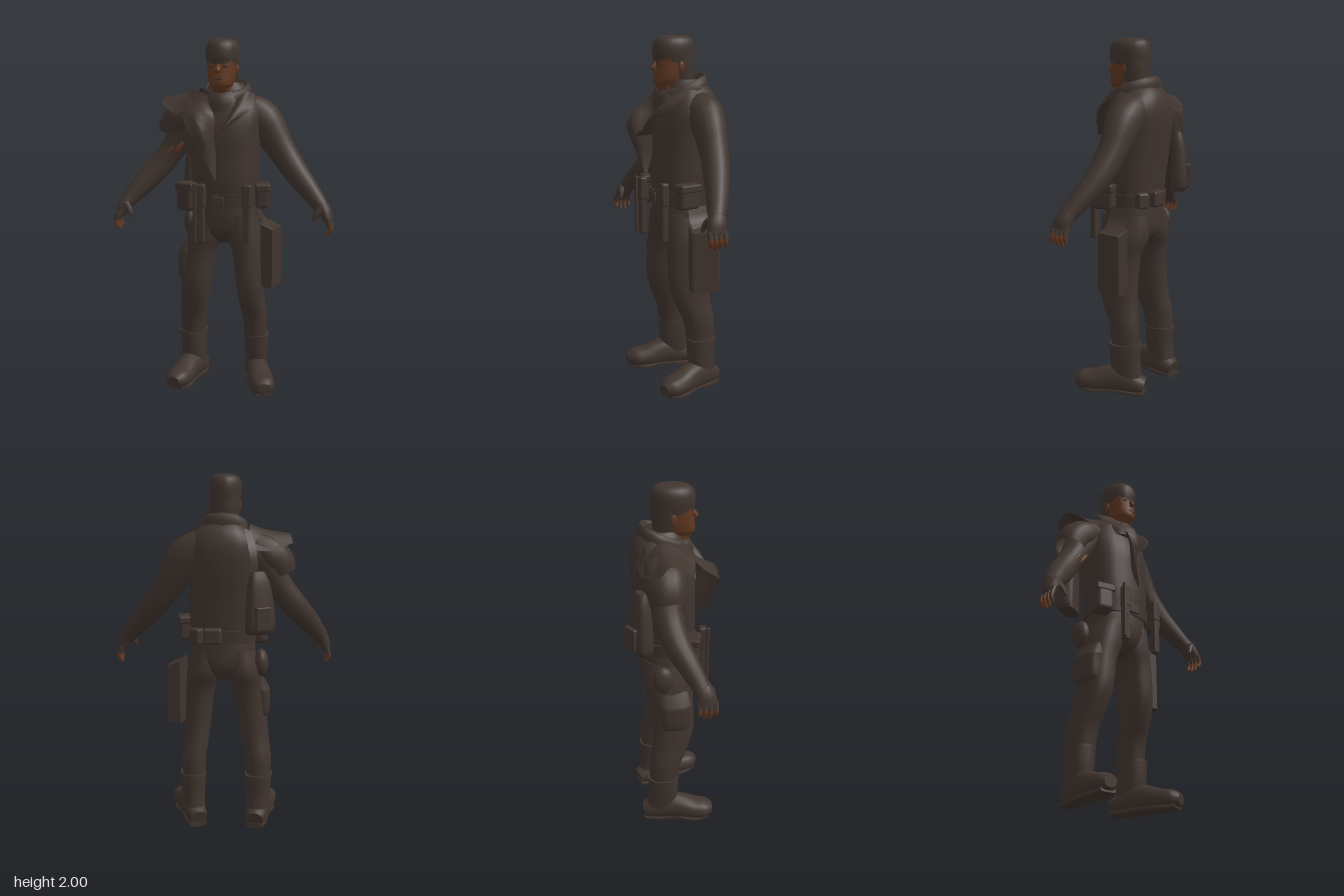
import * as THREE from 'three';
import { toCreasedNormals } from 'three/addons/utils/BufferGeometryUtils.js';
import { RoundedBoxGeometry } from 'three/addons/geometries/RoundedBoxGeometry.js';

const cloth = new THREE.MeshStandardMaterial({ color: 0x40342e, side: THREE.DoubleSide });
cloth.name = 'dark brown cloth';
const skin = new THREE.MeshStandardMaterial({ color: 0x603821 });
skin.name = 'skin';
const V = (x, y, z) => new THREE.Vector3(x, y, z);

export function createModel() {
  const model = new THREE.Group();
  model.name = 'fieldSoldier';

  const add = (name, geo, mat = cloth, parent = model) => {
    const m = new THREE.Mesh(geo, mat);
    m.name = name;
    parent.add(m);
    return m;
  };

  const addGroup = (name, x, y, z, yaw = 0) => {
    const g = new THREE.Group();
    g.name = name;
    g.position.set(x, y, z);
    g.rotation.y = yaw;
    model.add(g);
    return g;
  };

  const build = (pos, idx, crease = 0.7) => {
    const g = new THREE.BufferGeometry();
    g.setAttribute('position', new THREE.Float32BufferAttribute(pos, 3));
    g.setIndex(idx);
    return toCreasedNormals(g, crease);
  };

  // Loft through rows of [x, y, z, radiusA, radiusB]; rings lie flat or follow the path
  const loft = (rows, { follow = false, up = V(0, 0, 1), n = 2, seg = 16, sub = 3, caps = true } = {}) => {
    const path = new THREE.CatmullRomCurve3(rows.map(r => V(r[0], r[1], r[2])), false, 'catmullrom');
    const size = new THREE.CatmullRomCurve3(rows.map(r => V(r[3], r[4], 0)), false, 'catmullrom');
    const count = (rows.length - 1) * sub, pos = [], idx = [];
    const pw = c => Math.sign(c) * Math.abs(c) ** (2 / n);
    const flat = V(0, Math.sign(rows.at(-1)[1] - rows[0][1]), 0);
    for (let i = 0; i <= count; i++) {
      const c = path.getPoint(i / count), r = size.getPoint(i / count);
      const t = follow ? path.getTangent(i / count) : flat;
      const b = up.clone().addScaledVector(t, -up.dot(t)).normalize();
      const a = t.clone().cross(b);
      for (let j = 0; j < seg; j++) {
        const q = j / seg * Math.PI * 2;
        const p = c.clone().addScaledVector(a, r.x * pw(Math.cos(q))).addScaledVector(b, r.y * pw(Math.sin(q)));
        pos.push(p.x, p.y, p.z);
      }
    }
    for (let i = 0; i < count; i++) for (let j = 0; j < seg; j++) {
      const k = (j + 1) % seg, p = i * seg, q = p + seg;
      idx.push(p + j, q + j, p + k, q + j, q + k, p + k);
    }
    if (caps) {
      const c0 = pos.length / 3, top = count * seg, s = rows[0], e = rows.at(-1);
      pos.push(s[0], s[1], s[2], e[0], e[1], e[2]);
      for (let j = 0; j < seg; j++) {
        const k = (j + 1) % seg;
        idx.push(c0, j, k, c0 + 1, top + k, top + j);
      }
    }
    return build(pos, idx);
  };

  // Open cloth sheet through rows of points
  const sheet = rows => {
    const n = 8, m = 10, pos = [], idx = [];
    const across = rows.map(r => new THREE.CatmullRomCurve3(r.map(p => V(...p))));
    for (let i = 0; i <= m; i++) for (let j = 0; j <= n; j++) {
      const p = new THREE.CatmullRomCurve3(across.map(c => c.getPoint(j / n))).getPoint(i / m);
      pos.push(p.x, p.y, p.z);
      if (i < m && j < n) {
        const a = i * (n + 1) + j, b = a + n + 1;
        idx.push(a, b, a + 1, b, b + 1, a + 1);
      }
    }
    return build(pos, idx, 1);
  };

  const box = (name, [x, y, z], [w, h, d], yaw = 0, roll = 0, parent = model) => {
    const m = add(name, new RoundedBoxGeometry(w, h, d, 2, Math.min(w, h, d) * 0.25), cloth, parent);
    m.position.set(x, y, z);
    m.rotation.set(0, yaw, roll);
  };

  const ball = (name, [x, y, z], [a, b, c], mat = cloth, roll = 0) => {
    const m = add(name, new THREE.SphereGeometry(1, 14, 10), mat);
    m.position.set(x, y, z);
    m.scale.set(a, b, c);
    m.rotation.z = roll;
  };

  // Torso and hips
  add('jacket', loft([[0, 1.06, -.01, .175, .145], [0, 1.2, -.01, .188, .158], [-.005, 1.35, -.02, .196, .165],
    [-.005, 1.48, -.03, .2, .172], [0, 1.58, -.045, .205, .163], [0, 1.65, -.055, .185, .145],
    [0, 1.71, -.05, .135, .125], [0, 1.76, -.035, .085, .085]], { n: 2.4, seg: 24 }));
  add('hips', loft([[0, .86, -.015, .05, .08], [0, .92, -.015, .15, .138], [0, 1, -.012, .185, .152], [0, 1.1, -.01, .175, .15]],
    { n: 2.3, seg: 20 }));
  add('belt', loft([[0, 1.075, -.01, .186, .16], [0, 1.15, -.01, .193, .165]], { n: 2.4, seg: 24, sub: 1 }));
  box('buckle', [-.01, 1.11, .15], [.07, .055, .025]);

  // Collar, high at the back, with a scarf inside
  const collar = [[.15, .135, 1.66], [.14, .14, 1.72], [.12, .125, 1.75], [.1, .105, 1.72]].map(([a, b, y]) =>
    Array.from({ length: 17 }, (_, i) => {
      const q = (i / 16 * 1.7 - .35) * Math.PI;
      return [a * Math.cos(q), y + .045 * Math.sin(q), -.025 - b * Math.sin(q)];
    }));
  add('collar', sheet(collar));
  add('scarf', loft([[0, 1.6, .02, .12, .12], [-.005, 1.67, .03, .1, .105], [-.005, 1.71, .015, .085, .09]], { n: 2.2 }));

  // Broad lapels standing away from the chest
  add('rightLapel', sheet([
    [[-.07, 1.69, .1], [-.13, 1.71, .08], [-.2, 1.72, .03]],
    [[-.05, 1.62, .13], [-.12, 1.63, .14], [-.2, 1.64, .11]],
    [[-.03, 1.56, .14], [-.1, 1.58, .235], [-.2, 1.58, .17]],
    [[-.03, 1.48, .15], [-.07, 1.5, .26], [-.155, 1.51, .255]],
    [[-.02, 1.36, .15], [-.05, 1.38, .225], [-.09, 1.4, .24]],
    [[-.01, 1.23, .195], [-.01, 1.235, .2], [-.015, 1.24, .205]]]));
  add('leftLapel', sheet([
    [[.08, 1.67, .09], [.13, 1.71, .06], [.165, 1.7, 0]],
    [[.05, 1.59, .13], [.09, 1.61, .17], [.165, 1.62, .11]],
    [[.01, 1.51, .14], [.03, 1.51, .225], [.06, 1.53, .2]],
    [[-.025, 1.46, .15], [-.02, 1.455, .21], [-.02, 1.455, .255]]]));

  // Torn shoulder flap and short sleeve on the right
  add('shoulderFlap', sheet([
    [[-.14, 1.6, -.19], [-.15, 1.73, -.05], [-.16, 1.63, .12]],
    [[-.26, 1.59, -.17], [-.24, 1.7, -.04], [-.26, 1.59, .1]],
    [[-.385, 1.63, -.1], [-.37, 1.68, -.04], [-.36, 1.64, .04]]]));
  add('sleevePuff', loft([[-.17, 1.62, -.055, .08, .1], [-.25, 1.57, -.055, .1, .11], [-.3, 1.52, -.05, .098, .1],
    [-.325, 1.46, -.045, .084, .088]], { follow: true, caps: false }));
  ball('tornSleevePatch', [-.275, 1.39, .01], [.015, .055, .017], skin, -.6);
  ball('tornSleevePatch', [-.33, 1.37, .018], [.012, .05, .015], skin, -.65);

  // Arms and fingerless gloves
  const arm = (side, name, rows, dz) => {
    add(name + 'Arm', loft(rows, { follow: true }));
    const g = addGroup(name + 'Hand', 0, 0, dz);
    const pt = ([x, y, z, a, b]) => [side * x, y, z, a, b];
    add('glove', loft([[.54, 1.11, .035, .038, .045], [.575, 1.06, .055, .037, .052], [.595, 1.01, .065, .026, .053]].map(pt),
      { follow: true }), cloth, g);
    for (let i = 0; i < 4; i++) {
      const z = .022 + i * .028, e = .955 - (i === 1 || i === 2 ? .015 : 0);
      add('fingerSleeve', loft([[.592, 1.03, z, .015, .015], [.607, .985, z, .015, .015]].map(pt),
        { follow: true, seg: 8 }), cloth, g);
      add('finger', loft([[.605, .995, z, .013, .013], [.608, .97, z, .013, .013], [.595, e - .01, z, .008, .008]].map(pt),
        { follow: true, seg: 8 }), skin, g);
    }
    add('thumb', loft([[.56, 1.08, .085, .022, .022], [.53, 1.045, .1, .018, .018], [.515, 1.01, .11, .009, .009]].map(pt),
      { follow: true, seg: 8 }), cloth, g);
  };
  arm(1, 'left', [[.1, 1.63, -.07, .08, .1], [.2, 1.555, -.075, .105, .1], [.3, 1.4, -.065, .083, .08],
    [.385, 1.28, -.04, .072, .072], [.47, 1.18, 0, .06, .06], [.555, 1.085, .045, .043, .047]], 0);
  arm(-1, 'right', [[-.1, 1.63, -.06, .08, .1], [-.21, 1.55, -.06, .1, .1], [-.31, 1.4, -.05, .075, .077],
    [-.4, 1.28, -.02, .072, .072], [-.485, 1.18, .035, .062, .06], [-.56, 1.085, .09, .043, .047]], .048);

  // Head with brow line, face and cropped hair cap
  add('face', loft([[-.01, 1.66, .01, .06, .065], [-.01, 1.725, .05, .05, .08], [-.01, 1.75, .055, .065, .09],
    [-.01, 1.8, .048, .076, .092], [-.01, 1.88, .045, .082, .09]], { n: 2.3, seg: 18 }), skin);
  add('backHair', loft([[-.01, 1.69, -.02, .06, .065], [-.01, 1.77, -.01, .075, .075], [-.01, 1.83, 0, .084, .09],
    [-.01, 1.9, .005, .088, .095]], { seg: 18 }));
  add('hairCap', loft([[-.01, 1.855, .024, .085, .114], [-.01, 1.9, .026, .091, .12], [-.01, 1.945, .025, .091, .118],
    [-.01, 1.975, .022, .08, .106], [-.01, 1.993, .02, .058, .082], [-.01, 2, .02, .03, .045]], { n: 2.1, seg: 20 }));
  add('nose', loft([[-.01, 1.86, .13, .01, .01], [-.01, 1.825, .148, .015, .017], [-.01, 1.81, .143, .012, .008]], { seg: 8 }), skin);
  box('mouth', [-.01, 1.778, .141], [.042, .007, .008]);
  for (const s of [-1, 1]) {
    ball('eye', [-.01 + s * .034, 1.847, .127], [.02, .009, .007]);
    ball('ear', [-.01 + s * .081, 1.83, .015], [.009, .03, .018], skin);
  }

  // Trousers
  add('leftLeg', loft([[.09, 1.03, -.01, .09, .14], [.108, .9, -.014, .1, .145], [.13, .8, 0, .084, .124],
    [.145, .62, .003, .077, .118], [.155, .5, -.02, .073, .105], [.167, .4, -.05, .071, .09], [.17, .26, -.06, .064, .08]], { n: 2.2 }));
  add('rightLeg', loft([[-.09, 1.03, -.01, .09, .14], [-.115, .9, -.014, .105, .145], [-.145, .8, 0, .088, .124],
    [-.17, .62, .005, .084, .12], [-.187, .5, -.015, .079, .105], [-.203, .4, -.045, .077, .092], [-.207, .26, -.058, .068, .08]], { n: 2.2 }));
  add('thighPocket', loft([[-.215, .63, .01, .03, .06], [-.222, .66, .01, .045, .085], [-.22, .77, .01, .05, .09],
    [-.212, .8, .01, .05, .092], [-.19, .87, .005, .03, .08]], { n: 3 }));

  // Boots, toes turned outward
  for (const [name, x, yaw, w] of [['leftBoot', .173, .34, 1], ['rightBoot', -.207, -.17, 1.08]]) {
    const g = addGroup(name, x, 0, -.06, yaw);
    add('shaft', loft([[0, .05, -.025, .058, .08], [0, .13, -.008, .06 * w, .085], [0, .2, 0, .066 * w, .086], [0, .29, 0, .07 * w, .09]], { n: 2.3 }), cloth, g);
    add('cuff', loft([[0, .28, 0, .073 * w, .093], [0, .3, 0, .073 * w, .093]], { n: 2.3, sub: 1 }), cloth, g);
    add('foot', loft([[0, .05, -.112, .048, .045], [0, .06, -.07, .06, .058], [0, .085, .02, .064, .083], [0, .08, .1, .066, .076],
      [0, .067, .18, .072, .06], [0, .064, .25, .067, .052], [0, .062, .292, .036, .03]], { follow: true, up: V(0, 1, 0), n: 2.3 }), cloth, g);
    add('sole', loft([[0, .014, -.112, .048, .014], [0, .014, -.04, .058, .014], [0, .022, .08, .056, .014],
      [0, .016, .19, .068, .014], [0, .026, .27, .045, .014]], { follow: true, up: V(0, 1, 0), n: 4 }), cloth, g);
  }

  // Belt pouches and hanging tools
  box('leftPouch', [.222, 1.14, .05], [.075, .14, .13], .2);
  box('leftPouchFlap', [.223, 1.185, .05], [.084, .045, .137], .2);
  box('rightPouch', [-.195, 1.125, .09], [.11, .16, .11], -.3);
  box('rightPouchFlap', [-.195, 1.185, .09], [.118, .045, .117], -.3);
  box('backPouch', [.05, 1.125, -.185], [.1, .09, .06]);
  box('backSidePouch', [.14, 1.12, -.15], [.07, .09, .06], -.6);
  for (const [x, z] of [[-.1, .18], [.155, .16]]) {
    box('toolSheath', [x, 1, z], [.042, .24, .04]);
    box('toolHandle', [x, 1.145, z], [.052, .13, .045]);
  }
  box('slimRod', [-.13, 1.05, .205], [.02, .33, .02]);
  ball('canteen', [-.218, .955, -.06], [.042, .08, .06]);

  // Slim angular thigh holster hanging from a belt strap
  const outline = new THREE.Shape([[-.035, .61], [.035, .61], [.035, .94], [-.035, .97]].map(p => new THREE.Vector2(...p)));
  const holster = addGroup('holster', .26, 0, -.035, -.18);
  add('holsterBody', new THREE.ExtrudeGeometry(outline, { depth: .14, bevelEnabled: true, bevelSize: .005, bevelThickness: .01, bevelSegments: 1 }),
    cloth, holster).position.z = -.07;
  add('holsterStrap', sheet([[[.18, 1.07, -.08], [.185, 1.07, .03]], [[.205, 1, -.09], [.21, 1, .03]], [[.265, .95, -.1], [.26, .95, .03]]]));

  // Slung bag on the right of the back, turned outward
  const bag = addGroup('bag', -.21, 0, -.185, .5);
  add('bagBody', loft([[0, 1.14, .01, .07, .045], [0, 1.18, 0, .082, .052], [0, 1.3, .005, .076, .046],
    [.005, 1.42, .01, .06, .036], [.01, 1.48, .015, .04, .022]], { n: 3.5 }), cloth, bag);
  box('bagPocket', [.01, 1.23, -.048], [.09, .13, .03], 0, 0, bag);
  add('bagStrap', sheet([[[-.2, 1.44, -.2], [-.165, 1.44, -.21]], [[-.19, 1.58, -.19], [-.15, 1.58, -.21]],
    [[-.16, 1.69, -.14], [-.12, 1.71, -.14]]]));

  return model;
}
